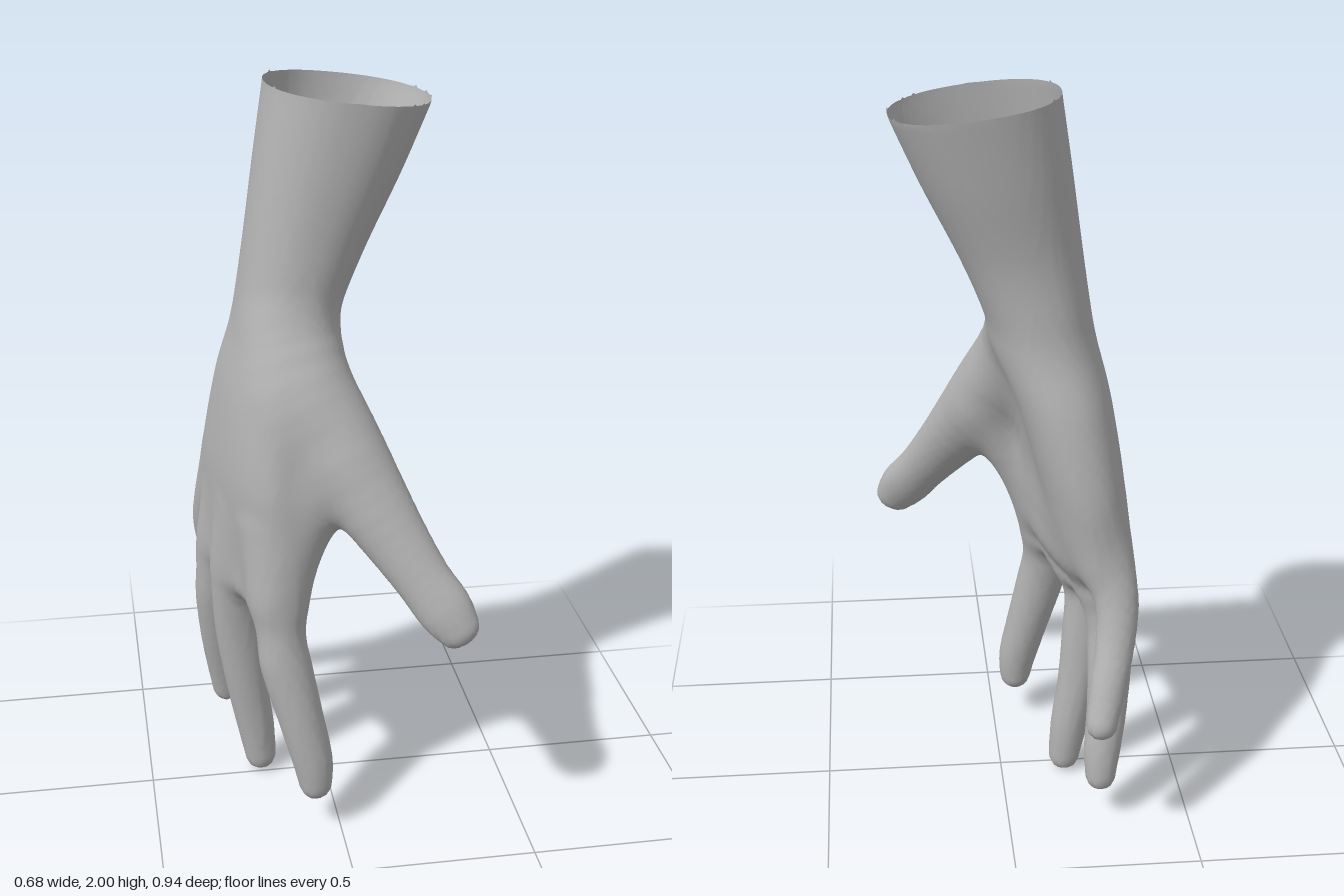
import * as THREE from 'three';

const CELL = 0.014;   // size of a skin cell
const SLANT = 0.12;   // slope of the forearm's cut, shared by all palm sections
const clamp = THREE.MathUtils.clamp;

// Catmull-Rom refinement of section rows [x, y, z, half thickness, half width, tilt, cup]
function refine(rows, steps) {
  const at = (n, k) => rows[clamp(n, 0, rows.length - 1)][k] ?? 0;
  return Array.from({ length: (rows.length - 1) * steps + 1 }, (_, n) => {
    const i = Math.min(Math.floor(n / steps), rows.length - 2), t = n / steps - i;
    return [0, 1, 2, 3, 4, 5, 6].map((k) => {
      const a = at(i - 1, k), b = at(i, k), c = at(i + 1, k), d = at(i + 2, k);
      return b + 0.5 * t * (c - a + t * (2 * a - 5 * b + 4 * c - d + t * (3 * (b - c) + d - a)));
    });
  });
}

// Approximate distance to an ellipsoid, slightly squared off by the power n
function ellipsoid(u, v, w, a, b, n = 2) {
  const c = Math.min(a, b);
  const k0 = (Math.abs(u / a) ** n + Math.abs(v / b) ** n + Math.abs(w / c) ** n) ** (1 / n);
  if (k0 < 0.05) return -c;
  return k0 * (k0 - 1) / Math.hypot(u / a / a, v / b / b, w / c / c);
}

// Distance to a finger: the nearest of its short elliptical segments
function limbField(rows) {
  const box = new THREE.Box3();
  const fine = refine(rows, 3);
  const segments = fine.slice(1).map((r1, i) => {
    const r0 = fine[i];
    const P = new THREE.Vector3(...r0), T = new THREE.Vector3(...r1).sub(P);
    box.expandByPoint(P).expandByPoint(P.clone().add(T));
    const length = T.length();
    T.normalize();
    const V = new THREE.Vector3(0, 0, 1).addScaledVector(T, -T.z).normalize();
    return { P, T, V, U: V.clone().cross(T), length, r0, r1 };
  });
  box.expandByScalar(0.22);
  const o = new THREE.Vector3();
  return (p) => {
    if (!box.containsPoint(p)) return 1;
    let best = 1;
    for (const { P, T, U, V, length, r0, r1 } of segments) {
      o.subVectors(p, P);
      const along = o.dot(T), h = clamp(along / length, 0, 1);
      const a = r0[3] + h * (r1[3] - r0[3]), b = r0[4] + h * (r1[4] - r0[4]);
      best = Math.min(best, ellipsoid(o.dot(U), o.dot(V), along - h * length, a, b));
    }
    return best;
  };
}

// Distance to the forearm and palm: slanted parallel sections with a hollow palm side
function palmField(rows) {
  const fine = refine(rows, 10);
  const level = fine.map((r) => r[1] + SLANT * r[0]);
  const end = fine.length - 1;
  return (p) => {
    const y = p.y + SLANT * p.x;
    let i = 0;
    while (i < end - 1 && level[i + 1] > y) i++;
    const f = clamp((level[i] - y) / (level[i] - level[i + 1]), 0, 1);
    const [x, , z, a, b, tilt, cup] = fine[i].map((value, k) => value + f * (fine[i + 1][k] - value));
    const dx = p.x - x, dz = p.z - z, cos = Math.cos(tilt), sin = Math.sin(tilt);
    const v = dx * sin + dz * cos;
    let u = dx * cos - dz * sin;
    u += cup * Math.exp(-((v / b / 0.5) ** 2)) * clamp(u / a, 0, 1);
    return ellipsoid(u, v, Math.max(0, level[end] - y), a, b, 2.25);
  };
}

// Grow one skin over softly joined parts, cut open at the slanted level top; one geometry per part
function growSkin(parts, top) {
  const size = [0.84, 2.07, 1.08].map((s) => Math.ceil(s / CELL));
  const stride = [1, size[0], size[0] * size[1]];
  const count = size[0] * size[1] * size[2];
  const value = new Float32Array(count), owner = new Uint8Array(count);
  const place = (i, j, k, out) => {
    const x = -0.42 + i * CELL;
    return out.set(x, top + CELL / 2 - (size[1] - 1 - j) * CELL - SLANT * x, -0.54 + k * CELL);
  };
  const eachPoint = (visit) => {
    for (let k = 0, n = 0; k < size[2]; k++)
      for (let j = 0; j < size[1]; j++)
        for (let i = 0; i < size[0]; i++) visit(n++, i, j, k);
  };
  const p = new THREE.Vector3();
  eachPoint((n, i, j, k) => {
    place(i, j, k, p);
    let total = 1, nearest = 1;
    parts.forEach(({ field, blend }, part) => {
      const d = field(p);
      if (d < nearest) { nearest = d; owner[n] = part; }
      const h = Math.max(blend - Math.abs(d - total), 0) / blend;
      total = Math.min(d, total) - h * h * blend / 4;
    });
    value[n] = total;
  });

  // One skin point in every cell the surface crosses
  const points = [], pointOf = new Int32Array(count).fill(-1);
  eachPoint((n, i, j, k) => {
    if (i === size[0] - 1 || j === size[1] - 1 || k === size[2] - 1) return;
    const sum = new THREE.Vector3();
    let hits = 0;
    for (let c = 0; c < 8; c++) {
      const bits = [c & 1, (c >> 1) & 1, c >> 2];
      const m = n + bits[0] * stride[0] + bits[1] * stride[1] + bits[2] * stride[2];
      for (let axis = 0; axis < 3; axis++) {
        if (bits[axis] || (value[m] < 0) === (value[m + stride[axis]] < 0)) continue;
        const at = [i + bits[0], j + bits[1], k + bits[2]];
        at[axis] += value[m] / (value[m] - value[m + stride[axis]]);
        sum.add(place(...at, p));
        hits++;
      }
    }
    if (!hits) return;
    pointOf[n] = points.length;
    points.push(sum.divideScalar(hits));
  });

  // Join neighbouring skin points into faces, sorted by part
  const faces = parts.map(() => []);
  eachPoint((n) => {
    for (let axis = 0; axis < 3; axis++) {
      const m = n + stride[axis];
      if (m >= count || (value[n] < 0) === (value[m] < 0)) continue;
      const b = stride[(axis + 1) % 3], c = stride[(axis + 2) % 3];
      const q = [n, n - b, n - b - c, n - c].map((cell) => pointOf[cell] ?? -1);
      if (q.includes(-1)) continue;
      if (value[n] >= 0) q.reverse();
      faces[owner[n]].push(q[0], q[1], q[2], q[0], q[2], q[3]);
    }
  });
  const whole = new THREE.BufferGeometry().setFromPoints(points);
  whole.setIndex(faces.flat());
  whole.computeVertexNormals();
  return faces.map((list) => whole.clone().setIndex(list));
}

export function createModel() {
  // Open forearm, narrow wrist and cupped palm
  const parts = [{ name: 'forearmAndPalm', blend: 0.01, field: palmField([
    [0.07, 1.975, -0.072, 0.212, 0.204], [0.018, 1.8, -0.062, 0.188, 0.194],
    [-0.045, 1.6, -0.05, 0.155, 0.181], [-0.087, 1.45, -0.047, 0.136, 0.188],
    [-0.107, 1.35, -0.04, 0.134, 0.21, 0.03], [-0.143, 1.2, -0.035, 0.133, 0.262, 0.08, 0.03],
    [-0.175, 1.0, -0.033, 0.126, 0.298, 0.14, 0.05], [-0.19, 0.86, -0.033, 0.112, 0.297, 0.19, 0.03],
    [-0.2, 0.76, -0.025, 0.096, 0.28, 0.22, 0.01], [-0.215, 0.69, 0.005, 0.072, 0.235, 0.25],
  ]) }];
  // blend sets how softly a part grows out of the others
  const limb = (name, blend, rows) => parts.push({ name, blend, field: limbField(rows) });
  limb('thumb', 0.08, [
    [-0.09, 1.37, 0.05, 0.085, 0.09], [-0.06, 1.25, 0.12, 0.114, 0.112],
    [0.0, 1.13, 0.185, 0.113, 0.105], [0.07, 1.0, 0.255, 0.102, 0.088],
    [0.14, 0.89, 0.32, 0.084, 0.068], [0.2, 0.8, 0.372, 0.073, 0.056],
    [0.25, 0.73, 0.412, 0.073, 0.05], [0.283, 0.68, 0.436, 0.057, 0.04],
  ]);
  limb('thumbWeb', 0.07, [
    [0.01, 1.06, 0.2, 0.075, 0.07], [-0.05, 0.95, 0.185, 0.075, 0.07],
    [-0.11, 0.82, 0.19, 0.07, 0.065], [-0.145, 0.7, 0.2, 0.06, 0.06],
  ]);
  limb('indexFinger', 0.04, [
    [-0.17, 0.88, 0.17, 0.065, 0.065], [-0.155, 0.72, 0.2, 0.074, 0.068],
    [-0.15, 0.58, 0.222, 0.066, 0.064], [-0.14, 0.5, 0.235, 0.069, 0.063],
    [-0.105, 0.35, 0.255, 0.062, 0.062], [-0.075, 0.22, 0.27, 0.056, 0.057],
    [-0.067, 0.145, 0.275, 0.046, 0.05],
  ]);
  limb('middleFinger', 0.04, [
    [-0.215, 0.88, 0.03, 0.065, 0.07], [-0.237, 0.72, 0.0, 0.075, 0.073],
    [-0.245, 0.57, -0.013, 0.067, 0.059], [-0.237, 0.45, -0.02, 0.065, 0.055],
    [-0.22, 0.3, -0.025, 0.058, 0.054], [-0.195, 0.15, -0.028, 0.053, 0.051],
    [-0.183, 0.05, -0.028, 0.044, 0.046],
  ]);
  limb('ringFinger', 0.04, [
    [-0.225, 0.88, -0.13, 0.065, 0.065], [-0.263, 0.72, -0.155, 0.073, 0.066],
    [-0.28, 0.58, -0.175, 0.063, 0.057], [-0.283, 0.5, -0.19, 0.062, 0.056],
    [-0.275, 0.35, -0.225, 0.056, 0.054], [-0.26, 0.22, -0.255, 0.051, 0.051],
    [-0.255, 0.14, -0.268, 0.042, 0.045],
  ]);
  limb('littleFinger', 0.04, [
    [-0.22, 0.95, -0.22, 0.07, 0.065], [-0.26, 0.8, -0.275, 0.067, 0.058],
    [-0.28, 0.7, -0.31, 0.057, 0.05], [-0.272, 0.6, -0.345, 0.052, 0.047],
    [-0.25, 0.5, -0.39, 0.048, 0.044], [-0.23, 0.41, -0.428, 0.042, 0.041],
  ]);

  const group = new THREE.Group();
  group.name = 'hand';
  const skin = new THREE.MeshStandardMaterial({ color: 0xb2b2b2, side: THREE.DoubleSide });
  skin.name = 'grey skin';
  growSkin(parts, 1.983).forEach((geometry, i) => {
    const mesh = new THREE.Mesh(geometry, skin);
    mesh.name = parts[i].name;
    group.add(mesh);
  });
  return group;
}
